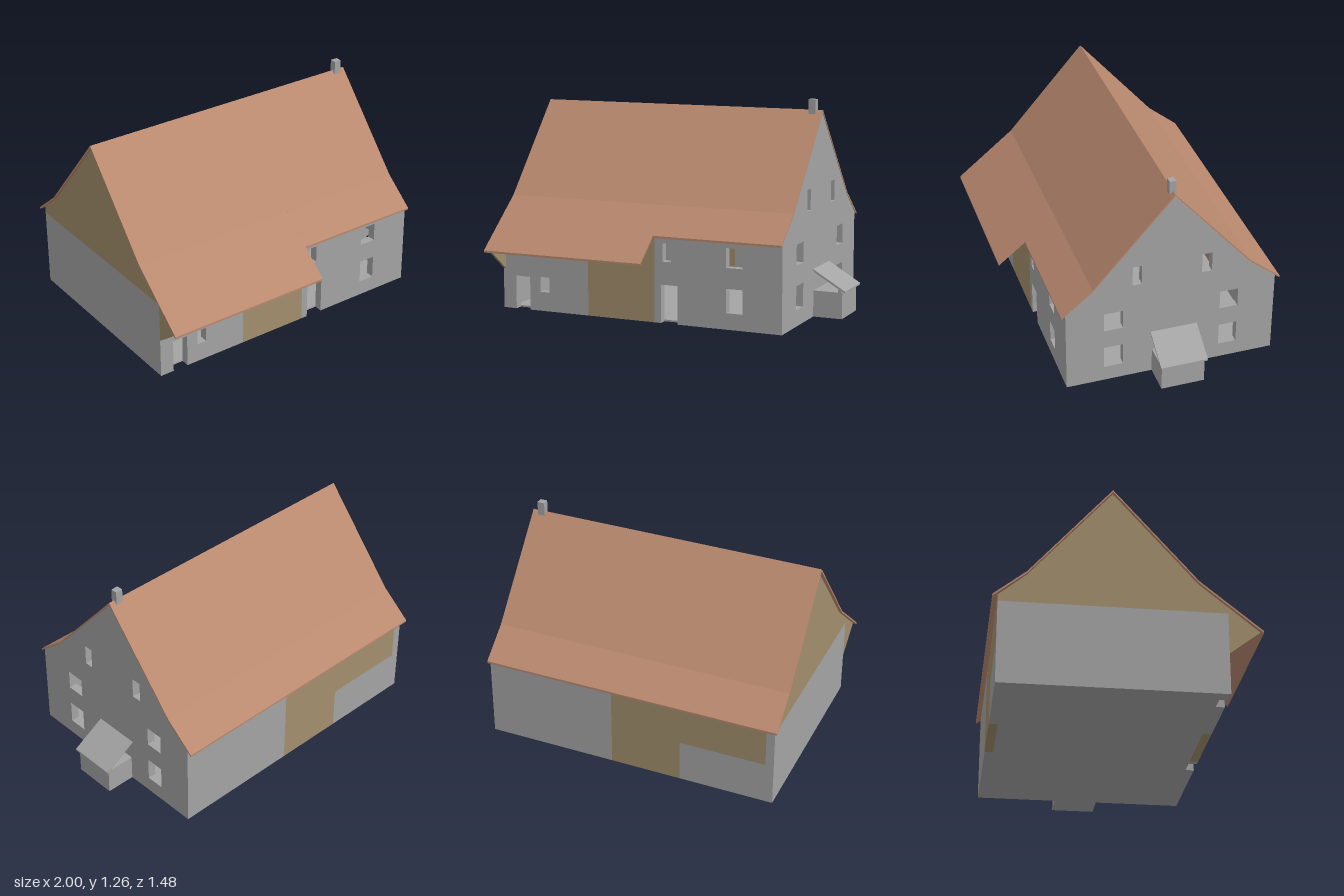
import * as THREE from 'three';

const grey = new THREE.MeshStandardMaterial({ color: 0xa4a4a4 });
grey.name = 'plaster grey';
const wood = new THREE.MeshStandardMaterial({ color: 0xa28e6c });
wood.name = 'weathered wood';
const clay = new THREE.MeshStandardMaterial({ color: 0xba896f });
clay.name = 'clay tile';

const T = 0.05;                                   // wall thickness
const X0 = -0.98, X1 = 0.803, ZF = 0.55, ZB = -0.71;
const WALL = 0.518, BASE = 0.48;

// Shape from points, with rectangular openings [x0, y0, x1, y1]
function outline(points, openings = []) {
  const shape = new THREE.Shape(points.map(([a, b]) => new THREE.Vector2(a, b)));
  for (const [a, b, c, d] of openings) {
    shape.holes.push(new THREE.Path([[a, b], [a, d], [c, d], [c, b]]
      .map(([x, y]) => new THREE.Vector2(x, y))));
  }
  return shape;
}

// Outline in (x, y), extruded from z0 to z1
function alongZ(shape, z0, z1) {
  return new THREE.ExtrudeGeometry(shape, { depth: z1 - z0, bevelEnabled: false }).translate(0, 0, z0);
}

// Outline in (z, y), extruded from x0 to x1
function alongX(shape, x0, x1) {
  return new THREE.ExtrudeGeometry(shape, { depth: x1 - x0, bevelEnabled: false })
    .rotateY(-Math.PI / 2).translate(x1, 0, 0);
}

function block(x0, x1, y0, y1, z0, z1) {
  return new THREE.BoxGeometry(x1 - x0, y1 - y0, z1 - z0)
    .translate((x0 + x1) / 2, (y0 + y1) / 2, (z0 + z1) / 2);
}

// Front wall contour with a doorway cut up from the ground
function doorWall(x0, x1, d0, d1, h) {
  return [[x0, 0], [d0, 0], [d0, h], [d1, h], [d1, 0], [x1, 0], [x1, WALL], [x0, WALL]];
}

export function createModel() {
  const house = new THREE.Group();
  house.name = 'farmhouse';
  const add = (name, geometry, material) => {
    const mesh = new THREE.Mesh(geometry, material);
    mesh.name = name;
    house.add(mesh);
  };

  // Floor
  add('floor', block(X0 + T, X1 - T, 0, 0.01, ZB + T, ZF - T), grey);

  // Gable wall with windows on two storeys and in the attic
  const slopes = [[0.39, 0.648], [-0.085, 1.188], [-0.555, 0.648]];
  const gableWindows = [];
  for (const [a, b] of [[0.21, 0.325], [-0.485, -0.375]]) {
    gableWindows.push([a, 0.095, b, 0.235], [a, 0.355, b, 0.475]);
  }
  gableWindows.push([0.1, 0.64, 0.155, 0.765], [-0.318, 0.64, -0.258, 0.765]);
  add('leftGableWall', alongX(outline(
    [[ZB, 0], [ZF, 0], [ZF, WALL], ...slopes, [ZB, WALL]], gableWindows), X1 - T, X1), grey);

  // Opposite side: plain wall, boarded gable and boarded eave bracket
  add('rightEndWall', block(X0, X0 + T, 0, BASE, ZB, ZF), grey);
  add('boardedGable', alongX(outline(
    [[ZB, BASE], [ZF, BASE], [ZF, WALL], ...slopes, [ZB, WALL]]), X0, X0 + T), wood);
  add('eaveBoarding', alongX(outline(
    [[ZF, 0.24], [0.725, 0.375], [ZF, WALL]]), X0, X0 + 0.015), wood);

  // Front walls and barn door
  add('frontHouseWall', alongZ(outline(doorWall(0.02, X1 - T, 0.06, 0.165, 0.225), [
    [0.465, 0.095, 0.565, 0.235], [0.465, 0.355, 0.565, 0.468], [0.07, 0.36, 0.122, 0.466],
  ]), ZF - T, ZF), grey);
  add('frontBarnWall', alongZ(outline(doorWall(X0 + T, -0.41, -0.895, -0.8, 0.2), [
    [-0.73, 0.115, -0.67, 0.205],
  ]), ZF - T, ZF), grey);
  add('barnDoor', block(-0.41, 0.02, 0, WALL, ZF - T, ZF), wood);

  // Back wall: masonry with an L-shaped boarded area
  add('backHouseWall', block(0.02, X1 - T, 0, WALL, ZB, ZB + T), grey);
  add('backBarnWall', block(X0 + T, -0.41, 0, 0.255, ZB, ZB + T), grey);
  add('backBoarding', alongZ(outline([
    [-0.41, 0], [0.02, 0], [0.02, WALL], [X0 + T, WALL], [X0 + T, 0.255], [-0.41, 0.255],
  ]), ZB, ZB + T), wood);

  // Kinked roof slabs, with the barn eave running lower at the front
  const roofSlab = (eave, x0, x1) => {
    const top = [eave, [0.39, 0.66], [-0.085, 1.203], [-0.555, 0.66], [-0.74, 0.51]];
    const under = top.map(([z, y]) => [z, y - 0.012]).reverse();
    return alongX(outline([...top, ...under]), x0, x1);
  };
  add('houseRoof', roofSlab([0.575, 0.51], 0.02, 0.806), clay);
  add('barnRoof', roofSlab([0.74, 0.376], -1, 0.02), clay);

  // Chimney
  add('chimney', block(0.724, 0.768, 1.15, 1.265, -0.104, -0.064), grey);

  // Cellar entrance with a lean-to canopy on rafters
  add('cellarEntrance', block(X1, 0.98, 0, 0.156, -0.225, 0.035), grey);
  const sloped = (drop, depth, xEnd) => {
    const y = (x) => 0.285 - (x - X1) * 0.6 - drop;
    return outline([[X1, y(X1) - depth], [xEnd, y(xEnd) - depth], [xEnd, y(xEnd)], [X1, y(X1)]]);
  };
  add('canopyRoof', alongZ(sloped(0, 0.01, 1), -0.237, 0.045), grey);
  for (let i = 0; i < 5; i++) {
    const z = -0.222 + i * 0.0615;
    add('canopyRafter', alongZ(sloped(0.01, 0.01, 0.99), z - 0.006, z + 0.006), grey);
  }
  add('canopyBeam', block(0.955, 0.972, 0.156, 0.176, -0.225, 0.035), grey);

  return house;
}
